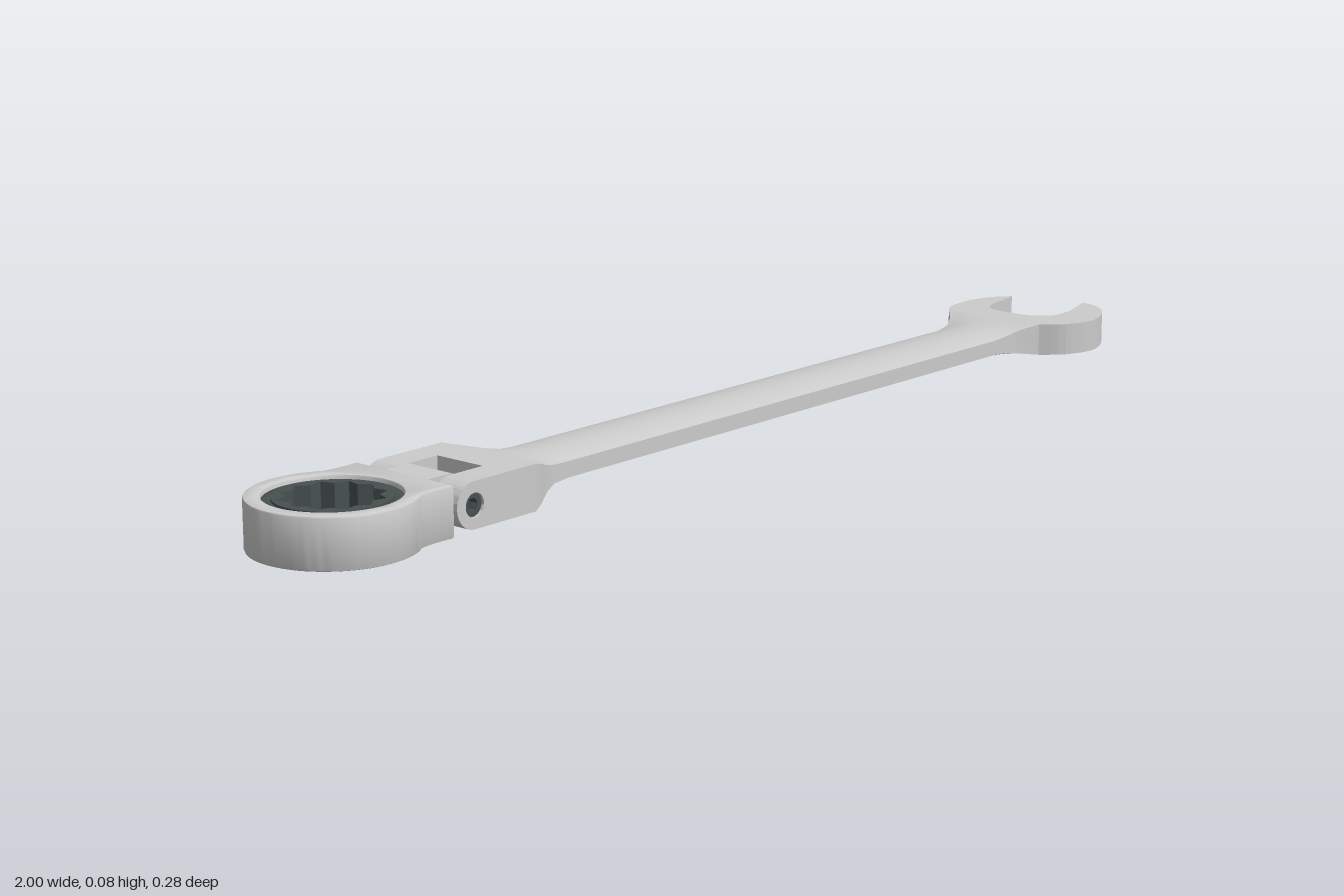
import * as THREE from 'three';
import { toCreasedNormals } from 'three/addons/utils/BufferGeometryUtils.js';

const MID = 0.042; // height of the wrench's middle plane
const PIN_X = -0.68;
const RING_X = -0.87;
const steel = new THREE.MeshStandardMaterial({ color: 0xcccccc });
const dark = new THREE.MeshStandardMaterial({ color: 0x475050 });

function part(name, geometry, material = steel) {
  const mesh = new THREE.Mesh(toCreasedNormals(geometry, 0.55), material);
  mesh.name = name;
  return mesh;
}

function extrude(shape, depth, bevel) {
  return new THREE.ExtrudeGeometry(shape, {
    depth: depth - 2 * bevel, bevelEnabled: bevel > 0, bevelSize: bevel,
    bevelThickness: bevel, bevelOffset: -bevel, bevelSegments: 2, curveSegments: 32,
  }).translate(0, 0, bevel - depth / 2);
}

// Outline in x and z, given a thickness about the middle plane
const plate = (shape, height, bevel = 0) =>
  extrude(shape, height, bevel).rotateX(Math.PI / 2).translate(0, MID, 0);

function hole(shape, x, y, r) {
  const path = new THREE.Path();
  path.absarc(x, y, r, 0, Math.PI * 2, true);
  shape.holes.push(path);
  return shape;
}

// Sections [x, half width, side half height, crown half height, z offset]
function loft(sections, n = 12) {
  const pos = [], index = [], count = 2 * (n + 1);
  for (const [x, w, side, crown, offset = 0] of sections) {
    for (const s of [-1, 1]) {
      for (let i = 0; i <= n; i++) {
        const t = -s * (-1 + (2 * i) / n) * -1;
        const z = s < 0 ? t : -Math.abs(t) * Math.sign(t) * 1;
        const u = s < 0 ? -1 + (2 * i) / n : 1 - (2 * i) / n;
        pos.push(x, MID + s * (side + (crown - side) * (1 - u * u)), offset + w * u);
      }
    }
  }
  for (let k = 0; k < sections.length - 1; k++) {
    for (let j = 0; j < count; j++) {
      const a = k * count + j, b = k * count + (j + 1) % count;
      index.push(a, a + count, b, b, a + count, b + count);
    }
  }
  const last = (sections.length - 1) * count;
  for (let j = 1; j < count - 1; j++) {
    index.push(0, j, j + 1, last, last + j + 1, last + j);
  }
  const geometry = new THREE.BufferGeometry();
  geometry.setAttribute('position', new THREE.Float32BufferAttribute(pos, 3));
  geometry.setIndex(index);
  geometry.computeVertexNormals();
  return geometry;
}

const spline = (shape, points) =>
  shape.splineThru(points.map(([x, y]) => new THREE.Vector2(x, y)));

function ringHead() {
  const group = new THREE.Group();
  group.name = 'ratchetHead';

  // Round housing with a short neck
  const housing = new THREE.Shape();
  const a = 0.95;
  housing.moveTo(-0.727, -0.103);
  housing.lineTo(-0.727, 0.103);
  housing.quadraticCurveTo(-0.77, 0.1, RING_X + 0.13 * Math.cos(a), 0.13 * Math.sin(a));
  housing.absarc(RING_X, 0, 0.13, a, 2 * Math.PI - a, false);
  housing.quadraticCurveTo(-0.77, -0.1, -0.727, -0.103);
  group.add(part('ringHousing', plate(hole(housing, RING_X, 0, 0.104), 0.082, 0.004)));

  // Retaining ring
  const collar = new THREE.Shape().absarc(RING_X, 0, 0.105, 0, Math.PI * 2, false);
  group.add(part('retainingRing', plate(hole(collar, RING_X, 0, 0.088), 0.068, 0.003), dark));

  // Twelve-point socket
  const socket = new THREE.Shape().absarc(RING_X, 0, 0.09, 0, Math.PI * 2, false);
  const star = [];
  for (let i = 0; i < 24; i++) {
    const r = i % 2 ? 0.068 : 0.081, t = (i / 24) * Math.PI * 2;
    star.push(new THREE.Vector2(RING_X + r * Math.cos(t), r * Math.sin(t)));
  }
  socket.holes.push(new THREE.Path(star));
  group.add(part('twelvePointSocket', plate(socket, 0.074), dark));

  // Hinge tongue, rounded about the pin
  const tongue = new THREE.Shape();
  tongue.moveTo(-0.75, MID - 0.038);
  tongue.lineTo(PIN_X, MID - 0.038);
  tongue.absarc(PIN_X, MID, 0.038, -Math.PI / 2, Math.PI / 2, false);
  tongue.lineTo(-0.75, MID + 0.038);
  group.add(part('hingeTongue', extrude(tongue, 0.09, 0)));
  return group;
}

function hinge() {
  const group = new THREE.Group();
  group.name = 'hinge';
  for (const side of [-1, 1]) {
    // Fork ear with a pin hole
    const ear = new THREE.Shape();
    ear.moveTo(-0.61, MID + 0.037);
    ear.lineTo(PIN_X, MID + 0.037);
    ear.absarc(PIN_X, MID, 0.037, Math.PI / 2, Math.PI * 1.5, false);
    ear.lineTo(-0.61, MID - 0.037);
    hole(ear, PIN_X, MID, 0.019);
    group.add(part('forkEar', extrude(ear, 0.052, 0).translate(0, 0, side * 0.074)));

    // Pin end with a hexagonal recess
    const end = new THREE.Shape().absarc(PIN_X, MID, 0.019, 0, Math.PI * 2, false);
    const hex = [];
    for (let i = 0; i < 6; i++) {
      const t = (i * Math.PI) / 3;
      hex.push(new THREE.Vector2(PIN_X + 0.011 * Math.cos(t), MID + 0.011 * Math.sin(t)));
    }
    end.holes.push(new THREE.Path(hex));
    group.add(part('pinEnd', extrude(end, 0.02, 0).translate(0, 0, side * 0.085), dark));
  }
  const pin = new THREE.CylinderGeometry(0.018, 0.018, 0.154, 24).rotateX(Math.PI / 2);
  group.add(part('hingePin', pin.translate(PIN_X, MID, 0), dark));
  return group;
}

function openJaw() {
  const jaw = new THREE.Shape();
  jaw.moveTo(0.785, -0.118);
  spline(jaw, [[0.81, -0.132], [0.845, -0.138], [0.885, -0.138], [0.928, -0.125], [0.96, -0.1]]);
  spline(jaw, [[0.92, -0.092], [0.87, -0.083], [0.843, -0.06], [0.837, -0.015],
    [0.843, 0.03], [0.873, 0.059], [0.92, 0.059]]);
  jaw.lineTo(1, 0.035);
  spline(jaw, [[0.985, 0.075], [0.955, 0.107], [0.91, 0.13], [0.87, 0.137], [0.82, 0.12], [0.785, 0.085]]);
  return part('openJaw', plate(jaw, 0.056));
}

export function createModel() {
  const model = new THREE.Group();
  model.name = 'flexHeadWrench';
  model.add(ringHead(), hinge(), openJaw());

  // Fork root, crowned shank and flare into the jaw
  model.add(part('handle', loft([
    [-0.61, 0.1, 0.037, 0.037],
    [-0.55, 0.1, 0.037, 0.037],
    [-0.525, 0.089, 0.03, 0.034],
    [-0.5, 0.076, 0.021, 0.029],
    [-0.475, 0.067, 0.015, 0.026],
    [-0.44, 0.064, 0.013, 0.025],
    [0.68, 0.064, 0.013, 0.025],
    [0.715, 0.067, 0.016, 0.026, -0.003],
    [0.75, 0.079, 0.022, 0.027, -0.01],
    [0.785, 0.1015, 0.028, 0.028, -0.0165],
  ])));
  return model;
}
